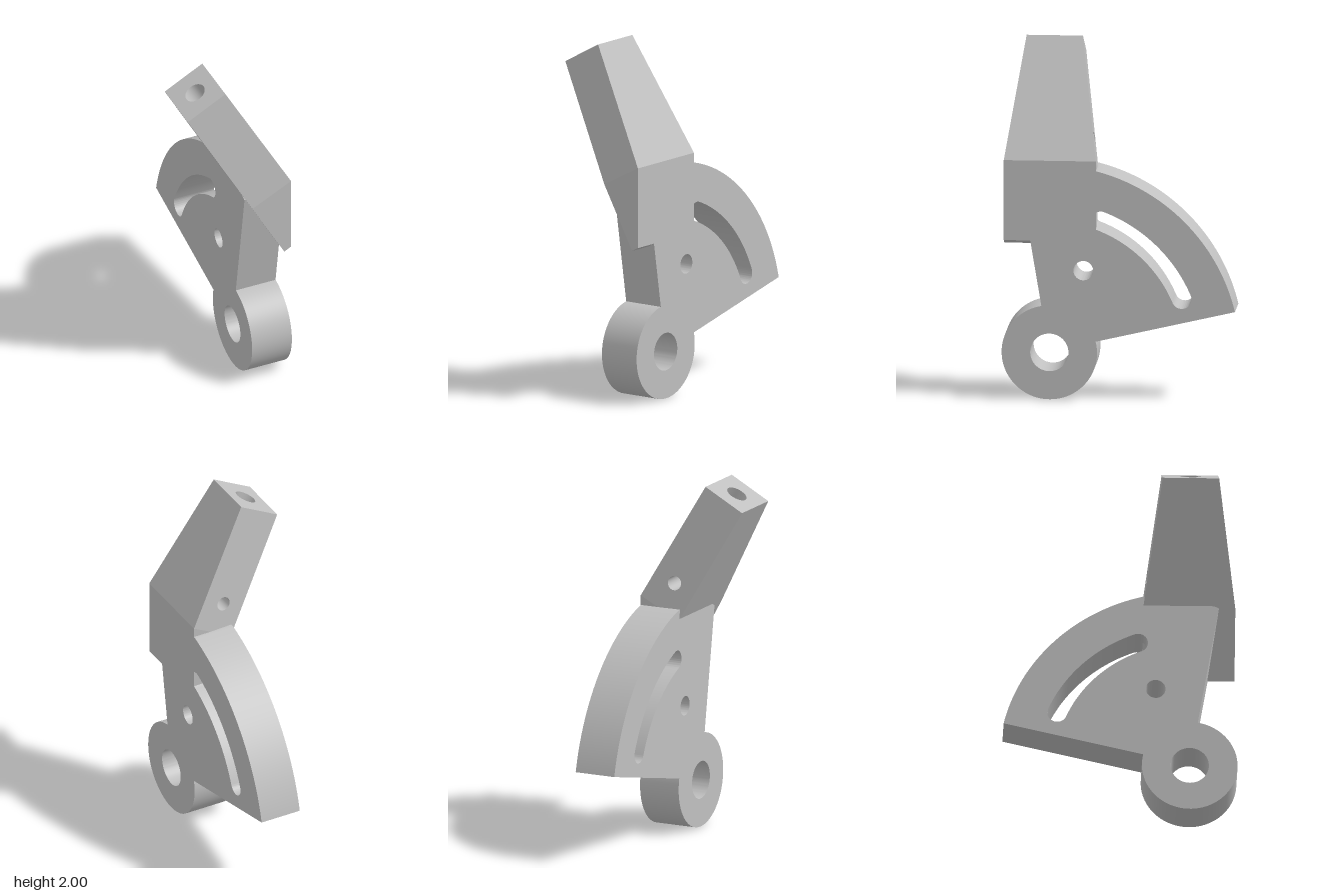
import * as THREE from 'three';
import { toCreasedNormals, mergeGeometries } from 'three/addons/utils/BufferGeometryUtils.js';

const rad = THREE.MathUtils.degToRad;
const ZC = 0.3875;       // centre of the arm across z
const TAPER = 0.732;     // length of the tapered stretch of the arm
const N = new THREE.Vector2(-0.4775, 0.8786); // direction the arm leans

function circleHole(x, y, r) {
  return new THREE.Path().absarc(x, y, r, 0, Math.PI * 2, true);
}

// Quadrant plate with a ring at the pivot; shape coordinates are (-z, y)
function plateGeometry() {
  const cx = -0.39, cy = 0.267;
  const s = new THREE.Shape();
  s.absarc(cx, cy, 1.067, rad(13.3), rad(75.9), false);
  s.lineTo(-0.5, 1.26);
  s.lineTo(-0.553, 1.235);
  s.absarc(cx, cy, 0.267, rad(99.6), rad(374), false);
  s.closePath();
  s.holes.push(circleHole(cx, cy, 0.107), circleHole(-0.2, 0.735, 0.055));

  // Curved slot concentric with the pivot
  const R = 0.804, r = 0.055, a0 = rad(23), a1 = rad(69);
  const slot = new THREE.Path();
  slot.absarc(cx, cy, R + r, a0, a1, false);
  slot.absarc(cx + R * Math.cos(a1), cy + R * Math.sin(a1), r, a1, a1 + Math.PI, false);
  slot.absarc(cx, cy, R - r, a1, a0, true);
  slot.absarc(cx + R * Math.cos(a0), cy + R * Math.sin(a0), r, a0 - Math.PI, a0, false);
  s.holes.push(slot);

  const g = new THREE.ExtrudeGeometry(s, { depth: 0.243, bevelEnabled: false, curveSegments: 40 });
  g.rotateY(Math.PI / 2).translate(0.048, 0, 0);
  return toCreasedNormals(g, rad(30));
}

// Arm outline in (x, y): A and B are the free end, F and C close the taper
const [A, B, C, D, E, F] = [
  [-0.295, 1.875], [-0.065, 2], [0.291, 1.357], [0.291, 0.902], [0.25, 0.88], [0.055, 1.235],
].map(([x, y]) => new THREE.Vector2(x, y));

function halfWidth(x, y) {
  const t = -((x - B.x) * N.x + (y - B.y) * N.y);
  return 0.1575 + 0.1 * Math.min(Math.max(t / TAPER, 0), 1);
}

// One flat side of the arm, pushed out to the tapered width
function sideFace(points, sign, hole) {
  const s = new THREE.Shape(points);
  if (hole) s.holes.push(hole);
  const g = new THREE.ShapeGeometry(s, 24).toNonIndexed();
  const p = g.attributes.position;
  for (let i = 0; i < p.count; i++) p.setZ(i, ZC + sign * halfWidth(p.getX(i), p.getY(i)));
  if (sign < 0) {
    // reverse the corner order so the face looks towards -z
    for (let i = 0; i < p.count; i += 3) {
      const a = new THREE.Vector3().fromBufferAttribute(p, i + 1);
      const b = new THREE.Vector3().fromBufferAttribute(p, i + 2);
      p.setXYZ(i + 1, b.x, b.y, b.z);
      p.setXYZ(i + 2, a.x, a.y, a.z);
    }
  }
  g.deleteAttribute('uv');
  g.computeVertexNormals();
  return g;
}

// Wall joining both sides along one outline edge (edges run clockwise)
function wall(p, q) {
  const v = (k, sign) => [k.x, k.y, ZC + sign * halfWidth(k.x, k.y)];
  const g = new THREE.BufferGeometry();
  const quad = [v(p, 1), v(q, 1), v(q, -1), v(p, 1), v(q, -1), v(p, -1)];
  // corners wound so that the wall faces away from the arm
  const flipped = [0, 2, 1, 3, 5, 4].map((i) => quad[i]);
  g.setAttribute('position', new THREE.Float32BufferAttribute(flipped.flat(), 3));
  g.computeVertexNormals();
  return g;
}

export function createModel() {
  const model = new THREE.Group();
  const grey = new THREE.MeshStandardMaterial({ color: 0xc0c0c0, side: THREE.DoubleSide });
  grey.name = 'plain grey';
  const add = (parent, name, geometry) => {
    const m = new THREE.Mesh(geometry, grey);
    m.name = name;
    parent.add(m);
    return m;
  };

  add(model, 'quadrantPlate', plateGeometry());

  // Leaning arm, clipped flush with the plate
  const arm = new THREE.Group();
  arm.name = 'arm';
  model.add(arm);
  const hx = 0.09, hy = 1.445, hr = 0.04;
  const edges = [[B, C], [C, D], [D, E], [E, F], [F, A]];
  add(arm, 'armBody', mergeGeometries([
    sideFace([A, B, C, F], 1),
    sideFace([F, C, D, E], 1),
    sideFace([A, B, C, F], -1, circleHole(hx, hy, hr)),
    sideFace([F, C, D, E], -1),
    ...edges.map(([p, q]) => wall(p, q)),
  ]));

  // Cross hole in the back of the arm, its mouth following the tapered side
  const cross = new THREE.CylinderGeometry(hr, hr, 1, 24, 1, true).rotateX(Math.PI / 2);
  const cp = cross.attributes.position;
  for (let i = 0; i < cp.count; i++) {
    const x = cp.getX(i) + hx, y = cp.getY(i) + hy;
    cp.setXYZ(i, x, y, cp.getZ(i) < 0 ? ZC - halfWidth(x, y) : ZC - 0.03);
  }
  add(arm, 'crossHole', cross);

  // Free end with a blind bore running down the arm
  const end = new THREE.Group();
  end.name = 'armEnd';
  const across = new THREE.Vector3(N.y, -N.x, 0);
  const along = new THREE.Vector3(N.x, N.y, 0);
  end.applyMatrix4(new THREE.Matrix4()
    .makeBasis(across, new THREE.Vector3(0, 0, -1), along)
    .setPosition((A.x + B.x) / 2, (A.y + B.y) / 2, ZC));
  arm.add(end);
  const w = A.distanceTo(B) / 2, h = 0.1575, bore = 0.06, depth = 0.6;
  const face = new THREE.Shape([[-w, -h], [w, -h], [w, h], [-w, h]].map((p) => new THREE.Vector2(...p)));
  face.holes.push(circleHole(0, 0, bore));
  add(end, 'endFace', new THREE.ShapeGeometry(face, 24));
  add(end, 'endBore', new THREE.CylinderGeometry(bore, bore, depth, 32, 1, true)
    .rotateX(Math.PI / 2).translate(0, 0, -depth / 2));
  add(end, 'boreBottom', new THREE.CircleGeometry(bore, 32).translate(0, 0, -depth));

  return model;
}
